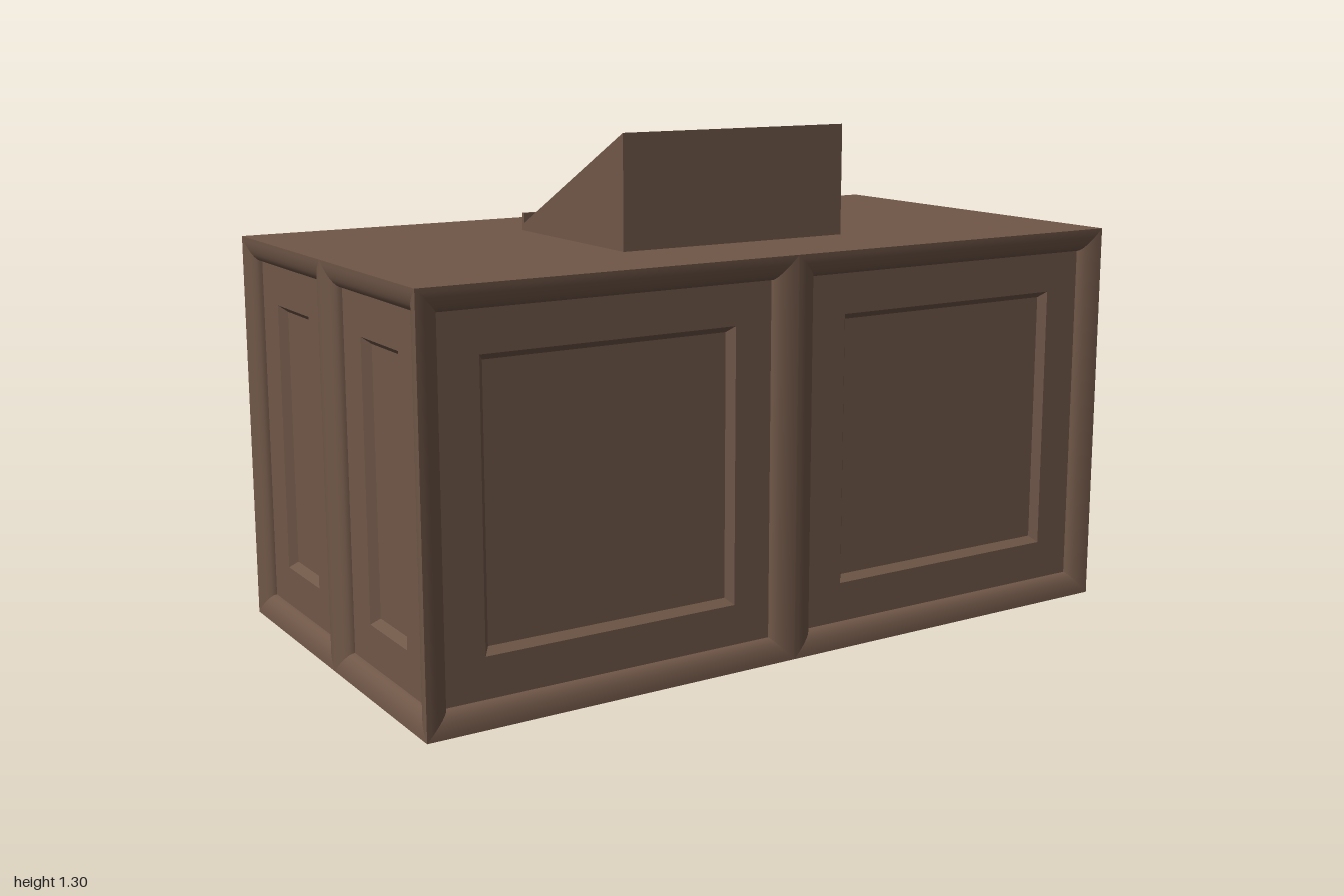
import * as THREE from 'three';
import { mergeGeometries } from 'three/addons/utils/BufferGeometryUtils.js';

const W = 2, H = 1.016, D = 1.07;

// Mitred ring sides following a profile of [inset, depth] points, for a w x h panel facing +z
function mitredRing(w, h, profile) {
  const corners = [[-1, -1], [1, -1], [1, 1], [-1, 1]];
  return corners.map((a, k) => {
    const b = corners[(k + 1) % 4];
    const pos = [], index = [];
    profile.forEach(([inset, depth], i) => {
      for (const c of [a, b]) pos.push(c[0] * (w / 2 - inset), c[1] * (h / 2 - inset), -depth);
      if (i > 0) {
        const o = (i - 1) * 2;
        index.push(o, o + 1, o + 3, o, o + 3, o + 2);
      }
    });
    const g = new THREE.BufferGeometry();
    g.setAttribute('position', new THREE.Float32BufferAttribute(pos, 3));
    g.setIndex(index);
    g.computeVertexNormals();
    return g;
  });
}

function createPanel(w, h, material) {
  const group = new THREE.Group();
  group.name = 'panel';
  const add = (name, geometry) => {
    const mesh = new THREE.Mesh(geometry, material);
    mesh.name = name;
    group.add(mesh);
    return mesh;
  };
  // Quarter-round moulding
  const arc = [];
  for (let i = 0; i <= 8; i++) {
    const t = (i / 8) * Math.PI / 2;
    arc.push([0.06 * Math.sin(t), 0.03 * (1 - Math.cos(t))]);
  }
  add('moulding', mergeGeometries(mitredRing(w, h, arc)));
  // Flat field, bevel and sunken centre
  add('panelField', mergeGeometries(mitredRing(w, h, [[0.06, 0.03], [0.162, 0.03]])));
  add('panelBevel', mergeGeometries(mitredRing(w, h, [[0.162, 0.03], [0.178, 0.05]])));
  add('panelCentre', new THREE.PlaneGeometry(w - 0.356, h - 0.356)).position.z = -0.05;
  return group;
}

export function createModel() {
  const model = new THREE.Group();
  model.name = 'panelledDesk';
  const wood = new THREE.MeshStandardMaterial({ color: 0x705748 });
  wood.name = 'brownWood';

  // Two panels on each of the four sides
  const sides = [
    ['front', W, D / 2, 0], ['right', D, W / 2, Math.PI / 2],
    ['back', W, D / 2, Math.PI], ['left', D, W / 2, -Math.PI / 2],
  ];
  for (const [name, width, distance, angle] of sides) {
    const side = new THREE.Group();
    side.name = name === 'right' ? 'leftSide' : name === 'left' ? 'rightSide' : name + 'Side';
    for (const s of [-1, 1]) {
      const panel = createPanel(width / 2, H, wood);
      panel.position.set(s * width / 4, H / 2, distance);
      side.add(panel);
    }
    side.rotation.y = angle;
    model.add(side);
  }

  // Top and underside
  for (const [name, y, angle] of [['deskTop', H, -Math.PI / 2], ['underside', 0, Math.PI / 2]]) {
    const mesh = new THREE.Mesh(new THREE.PlaneGeometry(W, D), wood);
    mesh.name = name;
    mesh.rotation.x = angle;
    mesh.position.y = y;
    model.add(mesh);
  }

  // Sloped reading stand with a small stop ledge, extruded across x
  const outline = new THREE.Shape([
    [-0.265, H], [0.263, H], [0.263, 1.062], [0.251, 1.062], [0.251, 1.036], [-0.265, 1.302],
  ].map(([u, v]) => new THREE.Vector2(u, v)));
  const standGeometry = new THREE.ExtrudeGeometry(outline, { depth: 0.656, bevelEnabled: false });
  standGeometry.translate(0, 0, -0.328).rotateY(Math.PI / 2);
  const stand = new THREE.Mesh(standGeometry, wood);
  stand.name = 'readingStand';
  model.add(stand);

  return model;
}
